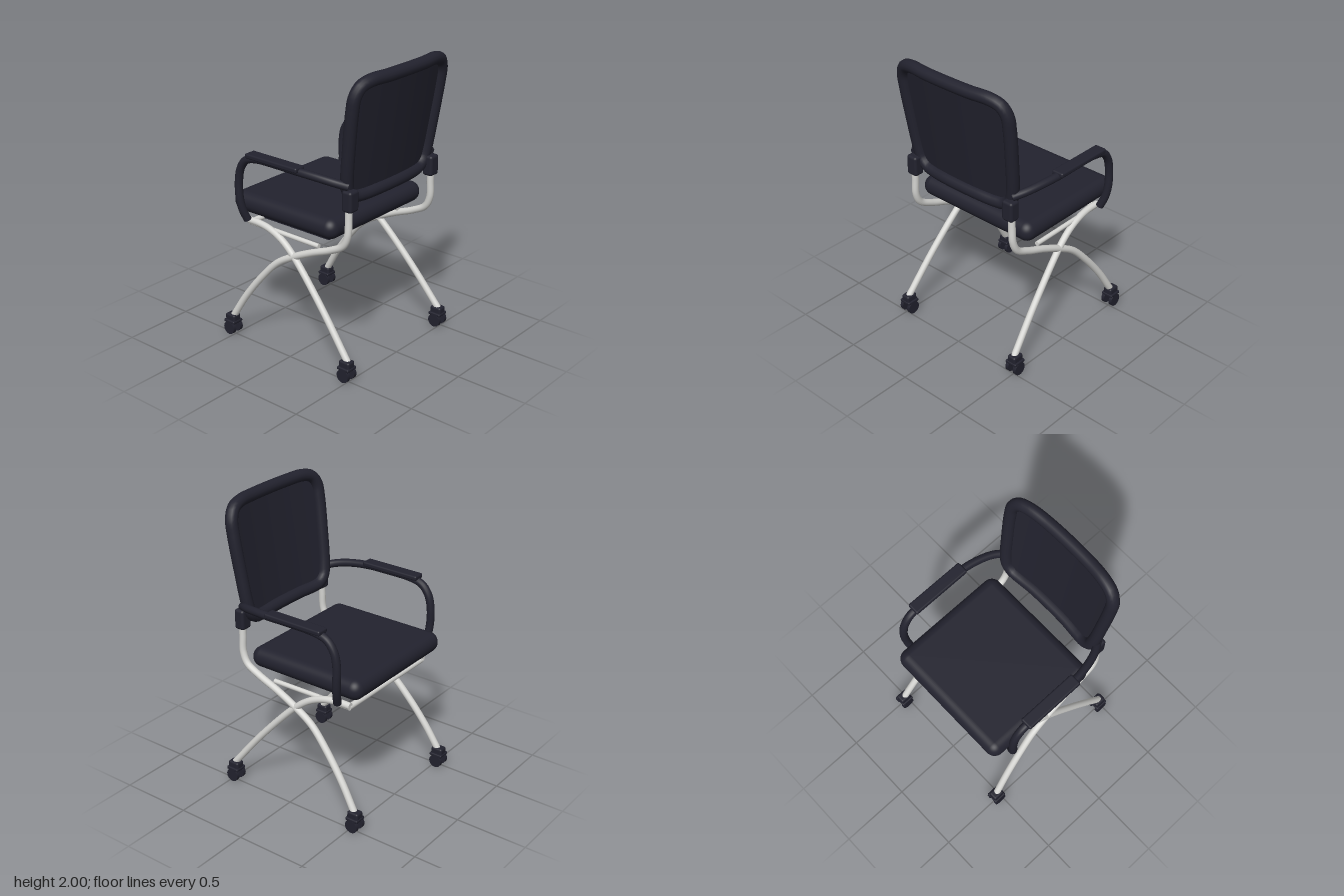
import * as THREE from 'three';
import { RoundedBoxGeometry } from 'three/addons/geometries/RoundedBoxGeometry.js';

const black = new THREE.MeshStandardMaterial({ color: 0x22222e });
black.name = 'black plastic and fabric';
black.side = THREE.DoubleSide;
const metal = new THREE.MeshStandardMaterial({ color: 0xd6d6d3 });
metal.name = 'light grey metal';

function add(parent, name, geometry, material, x = 0, y = 0, z = 0) {
  const mesh = new THREE.Mesh(geometry, material);
  mesh.name = name;
  mesh.position.set(x, y, z);
  parent.add(mesh);
  return mesh;
}

// Round bar through points, with flat end caps when open
function bar(parent, name, points, radius, material, closed = false, segments = 48) {
  const group = new THREE.Group();
  group.name = name;
  const curve = new THREE.CatmullRomCurve3(points.map(p => new THREE.Vector3(...p)), closed);
  add(group, name + 'Tube', new THREE.TubeGeometry(curve, segments, radius, 14, closed), material);
  if (!closed) {
    for (const t of [0, 1]) {
      const cap = add(group, name + 'Cap', new THREE.CircleGeometry(radius, 14), material, ...curve.getPoint(t));
      const dir = curve.getTangent(t).multiplyScalar(t ? 1 : -1);
      cap.quaternion.setFromUnitVectors(new THREE.Vector3(0, 0, 1), dir);
    }
  }
  parent.add(group);
}

const box = (w, h, d, r) => new RoundedBoxGeometry(w, h, d, 4, r);

// Leaning, sideways-curved surface that the backrest follows
const backZ = (x, y) => 0.484 + 0.155 * (y - 1.875) + 0.042 * (1 - (x / 0.44) ** 2);

function backrest(parent) {
  const half = [[0.17, 1.957], [0.32, 1.955], [0.395, 1.93], [0.432, 1.87], [0.437, 1.78],
    [0.425, 1.55], [0.405, 1.32], [0.385, 1.245], [0.335, 1.2], [0.27, 1.19], [0.14, 1.19]];
  const loop = [...half, ...half.map(([x, y]) => [-x, y]).reverse()];
  bar(parent, 'backFrame', loop.map(([x, y]) => [x, y, backZ(x, y)]), 0.042, black, true, 120);

  // Mesh panel: a grid narrowed to the rounded outline of the frame
  const panel = new THREE.PlaneGeometry(2, 2, 16, 24);
  const pos = panel.attributes.position;
  for (let i = 0; i < pos.count; i++) {
    const v = pos.getY(i);
    const y = 1.573 + v * 0.385;
    const edge = Math.max(0, Math.abs(v) * 0.385 - 0.275);
    const width = 0.42 + 0.017 * v - 0.11 + Math.sqrt(Math.max(0, 0.11 ** 2 - edge ** 2));
    const x = pos.getX(i) * width;
    pos.setXYZ(i, x, y, backZ(x, y));
  }
  panel.computeVertexNormals();
  add(parent, 'backPanel', panel, black);
}

function caster(parent, x, z) {
  const group = new THREE.Group();
  group.name = 'caster';
  group.position.set(x, 0, z);
  add(group, 'casterHousing', box(0.066, 0.062, 0.085, 0.014), black, 0, 0.113, 0);
  add(group, 'casterFork', box(0.088, 0.022, 0.094, 0.008), black, 0, 0.092, 0);
  for (const s of [-1, 1]) {
    const wheel = add(group, 'casterWheel', new THREE.CylinderGeometry(0.046, 0.046, 0.024, 24), black, s * 0.032, 0.046, 0);
    wheel.rotation.z = Math.PI / 2;
  }
  parent.add(group);
}

export function createModel() {
  const chair = new THREE.Group();
  chair.name = 'chair';

  // Seat cushion and the tray below it
  add(chair, 'seat', new RoundedBoxGeometry(0.95, 0.14, 0.87, 8, 0.069), black, 0, 0.972, -0.093);
  add(chair, 'seatTray', new THREE.BoxGeometry(0.67, 0.08, 0.56), black, 0, 0.882, -0.08);
  backrest(chair);

  // Front bar under the seat
  bar(chair, 'frontCrossbar', [[-0.41, 0.825, -0.415], [0.41, 0.825, -0.415]], 0.02, metal, false, 1);

  for (const s of [1, -1]) {
    const side = new THREE.Group();
    side.name = s > 0 ? 'leftSide' : 'rightSide';
    const mirror = pts => pts.map(([x, y, z]) => [s * x, y, z]);

    // Upright that sweeps down into the front leg
    bar(side, 'uprightAndFrontLeg', mirror([[0.42, 1.2, 0.434], [0.423, 1.08, 0.434], [0.428, 0.965, 0.43],
      [0.43, 0.89, 0.395], [0.43, 0.836, 0.302], [0.432, 0.772, 0.143], [0.438, 0.698, -0.016],
      [0.445, 0.619, -0.148], [0.459, 0.481, -0.28], [0.475, 0.307, -0.413], [0.49, 0.13, -0.522]]), 0.024, metal, false, 80);

    // Rear leg that rises to the front of the seat
    bar(side, 'rearLeg', mirror([[0.49, 0.13, 0.484], [0.465, 0.423, 0.249], [0.438, 0.7, -0.01],
      [0.428, 0.783, -0.122], [0.42, 0.825, -0.228], [0.412, 0.838, -0.33], [0.41, 0.838, -0.43]]), 0.023, metal, false, 64);

    bar(side, 'seatRail', mirror([[0.41, 0.82, 0.18], [0.41, 0.825, -0.42]]), 0.016, metal, false, 1);
    add(side, 'backBracket', box(0.085, 0.14, 0.076, 0.018), black, s * 0.414, 1.2, 0.438);

    // Armrest loop and pad
    bar(side, 'armrest', mirror([[0.42, 1.29, 0.43], [0.468, 1.313, 0.35], [0.5, 1.33, 0.25], [0.52, 1.34, 0.12],
      [0.522, 1.343, -0.05], [0.522, 1.338, -0.24], [0.521, 1.313, -0.33], [0.52, 1.25, -0.382], [0.52, 1.153, -0.404],
      [0.519, 1.03, -0.402], [0.505, 0.95, -0.393], [0.477, 0.875, -0.378]]), 0.027, black, false, 80);
    add(side, 'armPad', box(0.086, 0.034, 0.435, 0.012), black, s * 0.522, 1.358, -0.087);

    caster(side, s * 0.493, 0.478);
    caster(side, s * 0.493, -0.53);
    chair.add(side);
  }
  return chair;
}
